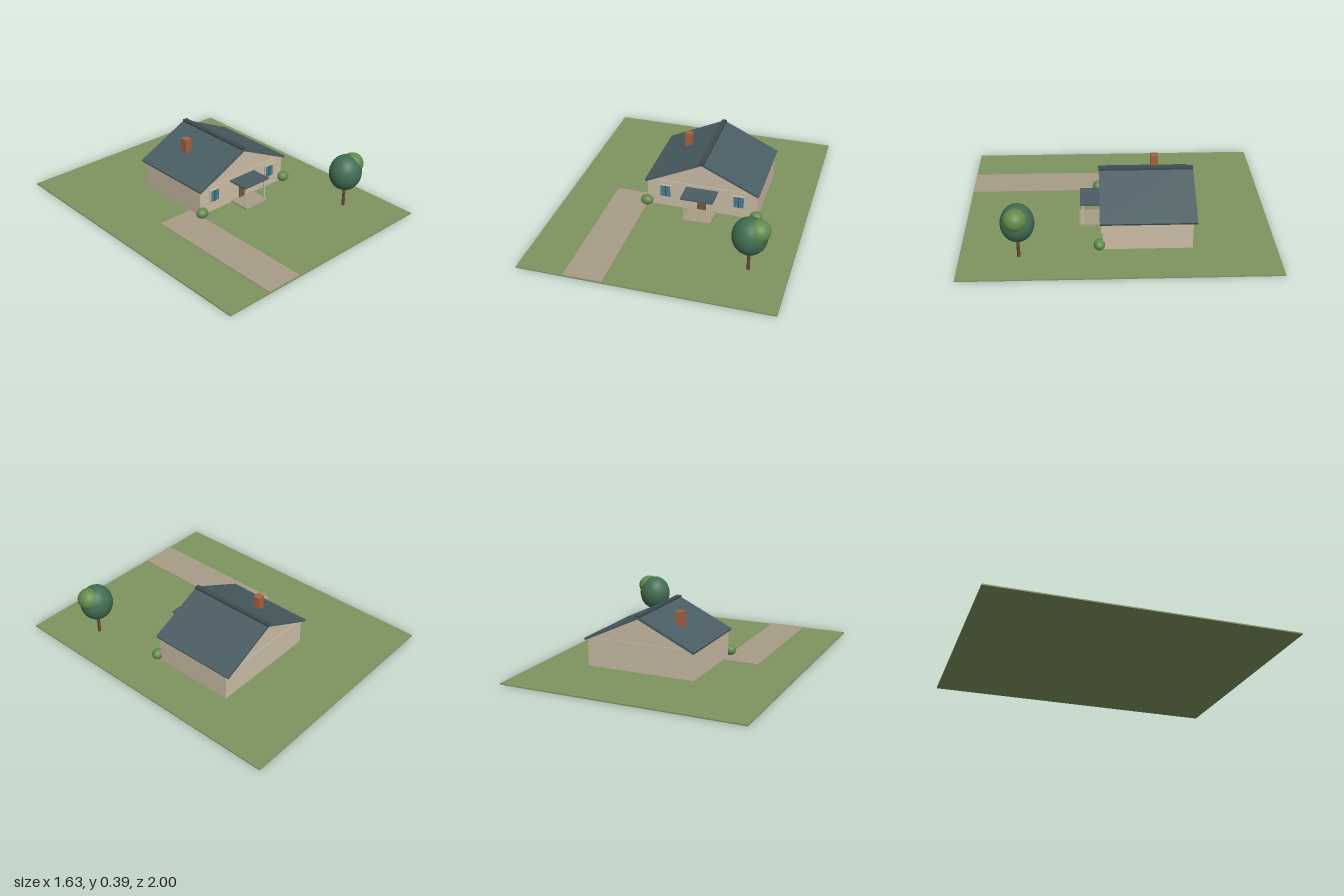
import * as THREE from 'three';

const mat = (color) => new THREE.MeshStandardMaterial({ color });
const M = {
  grass: mat(0x7f9460), drive: mat(0xa89c86), wall: mat(0xcbbda6), trim: mat(0xc9bda8),
  roof: mat(0x4a5e63), ridge: mat(0x3b4c50), brick: mat(0xa5623f), door: mat(0x7b573c),
  glass: mat(0x457f8e), mullion: mat(0x3a5a62), bark: mat(0x6b4530),
  leaf: mat(0x426d52), lightLeaf: mat(0x648a4a),
};

export function createModel() {
  const group = new THREE.Group();
  const add = (name, geometry, material, x = 0, y = 0, z = 0, parent = group) => {
    const mesh = new THREE.Mesh(geometry, material);
    mesh.name = name;
    mesh.position.set(x, y, z);
    parent.add(mesh);
    return mesh;
  };
  // Box given by its limits on each axis
  const box = (name, material, [x0, x1], [y0, y1], [z0, z1]) =>
    add(name, new THREE.BoxGeometry(x1 - x0, y1 - y0, z1 - z0), material,
      (x0 + x1) / 2, (y0 + y1) / 2, (z0 + z1) / 2);
  // Outline in x, y swept between two depths
  const prism = (name, material, points, z0, z1) =>
    add(name, new THREE.ExtrudeGeometry(
      new THREE.Shape(points.map(([x, y]) => new THREE.Vector2(x, y))),
      { depth: z1 - z0, bevelEnabled: false }), material, 0, 0, z0);
  const blob = (name, material, [x, y, z], [rx, ry, rz]) =>
    add(name, new THREE.SphereGeometry(1, 32, 20), material, x, y, z).scale.set(rx, ry, rz);

  // Plot
  box('lawn', M.grass, [-0.813, 0.813], [0, 0.008], [-1, 1]);
  box('driveway', M.drive, [-0.505, -0.253], [0.006, 0.013], [0, 0.998]);

  // House walls with gable ends
  const cx = 0.122, halfW = 0.376, front = 0.1, back = -0.467;
  prism('walls', M.wall, [
    [cx - halfW, 0.006], [cx + halfW, 0.006], [cx + halfW, 0.188],
    [cx, 0.368], [cx - halfW, 0.188],
  ], back, front);
  box('frontGableBand', M.trim, [cx - halfW, cx + halfW], [0.187, 0.203], [front - 0.01, front + 0.005]);
  box('backGableBand', M.trim, [cx - halfW, cx + halfW], [0.187, 0.203], [back - 0.005, back + 0.01]);

  // Two roof slopes and the ridge cap
  for (const s of [-1, 1]) {
    prism(s < 0 ? 'rightRoofSlope' : 'leftRoofSlope', M.roof, [
      [cx, 0.385], [cx + s * 0.39, 0.2], [cx + s * 0.383, 0.186], [cx, 0.367],
    ], -0.493, 0.12);
  }
  box('ridgeCap', M.ridge, [cx - 0.017, cx + 0.017], [0.372, 0.391], [-0.493, 0.12]);
  box('chimney', M.brick, [-0.09, -0.041], [0.24, 0.387], [-0.278, -0.229]);

  // Windows: frame bars around two panes
  for (const x of [-0.129, 0.374]) {
    const w = 0.042, y0 = 0.074, y1 = 0.172, t = 0.007;
    const depth = [front - 0.002, front + 0.011];
    for (const s of [-1, 1]) {
      const a = x + s * w, b = x + s * (w - t);
      box('windowJamb', M.trim, [Math.min(a, b), Math.max(a, b)], [y0, y1], depth);
    }
    box('windowSill', M.trim, [x - w + t, x + w - t], [y0, y0 + t], depth);
    box('windowHead', M.trim, [x - w + t, x + w - t], [y1 - t, y1], depth);
    box('windowGlass', M.glass, [x - w + t, x + w - t], [y0 + t, y1 - t], [front - 0.002, front + 0.007]);
    box('windowMullion', M.mullion, [x - 0.003, x + 0.003], [y0 + t, y1 - t], depth);
  }

  // Door
  box('doorFrame', M.trim, [0.086, 0.161], [0.02, 0.149], [front - 0.002, front + 0.005]);
  box('door', M.door, [0.093, 0.154], [0.02, 0.141], [front - 0.002, front + 0.009]);

  // Porch
  box('porchStep', M.drive, [0.027, 0.22], [0.006, 0.021], [front, 0.252]);
  box('porchCanopy', M.roof, [0.013, 0.232], [0.169, 0.179], [front - 0.002, 0.246]);
  for (const x of [0.037, 0.208]) {
    box('porchPost', M.trim, [x - 0.005, x + 0.005], [0.02, 0.17], [0.222, 0.232]);
  }

  // Bushes at the front corners
  for (const x of [cx - halfW, cx + halfW]) {
    blob('bush', M.lightLeaf, [x, 0.045, 0.124], [0.043, 0.035, 0.036]);
  }

  // Tree
  add('treeTrunk', new THREE.CylinderGeometry(0.009, 0.011, 0.16, 16), M.bark, 0.56, 0.086, 0.628);
  blob('treeCrown', M.leaf, [0.561, 0.255, 0.626], [0.111, 0.122, 0.106]);
  blob('treeSideCrown', M.lightLeaf, [0.615, 0.306, 0.634], [0.074, 0.071, 0.074]);

  return group;
}
